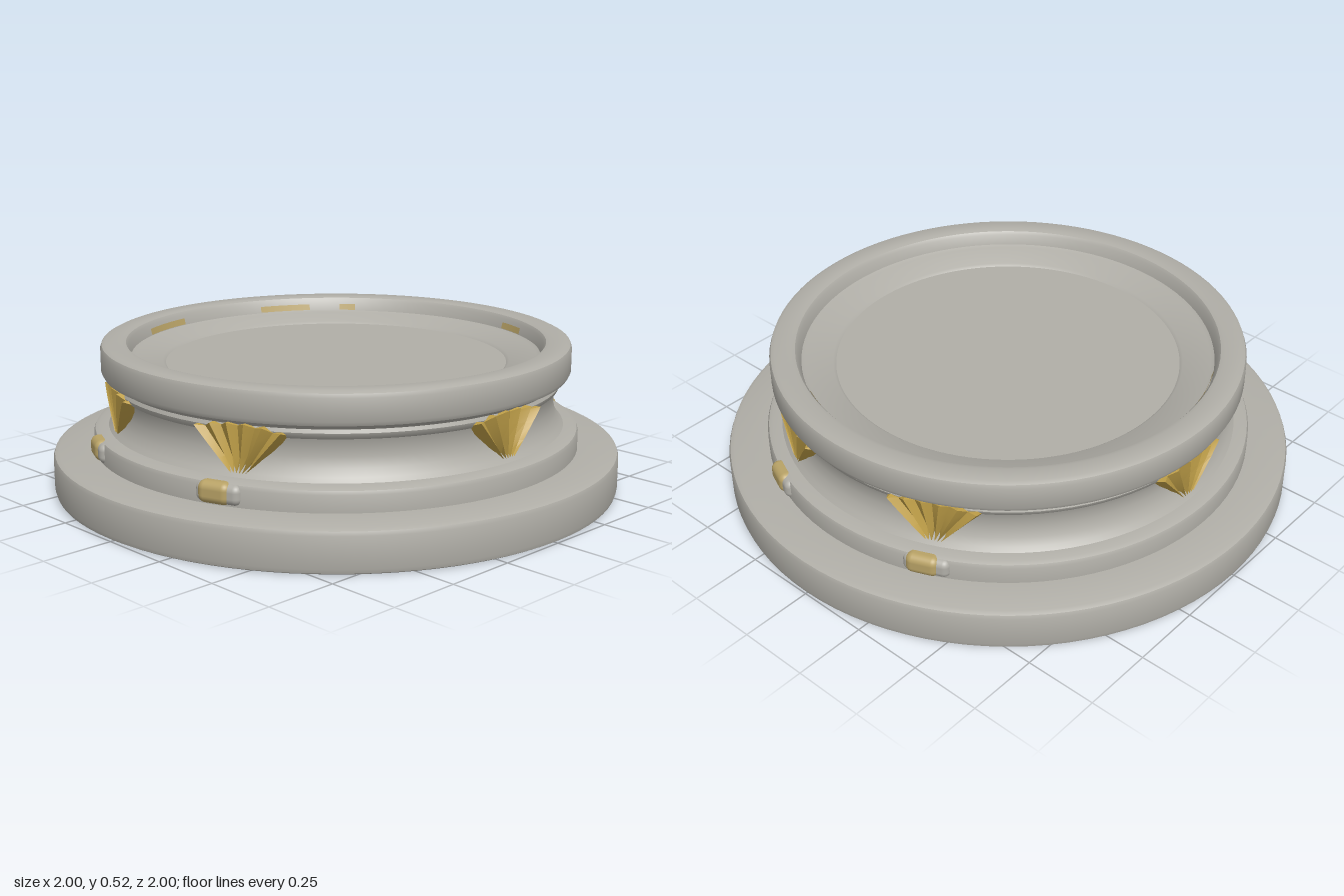
import * as THREE from 'three';
import { toCreasedNormals } from 'three/addons/utils/BufferGeometryUtils.js';
import { RoundedBoxGeometry } from 'three/addons/geometries/RoundedBoxGeometry.js';

const material = (name, color) => {
  const m = new THREE.MeshStandardMaterial({ color });
  m.name = name;
  return m;
};
const deg = THREE.MathUtils.degToRad;

// Fan of pleated leaves wrapped round the neck; its border sinks into the stone.
function fanGeometry() {
  const leaves = 6, cols = leaves * 2 + 1;
  const rows = [0, 0, 0.35, 0.7, 0.92, 1, 1];
  const pos = [], index = [];
  rows.forEach((t, r) => {
    for (let c = 0; c < cols; c++) {
      const u = (c / (cols - 1)) * 2 - 1;
      const crest = c % 2;
      const x = u * THREE.MathUtils.lerp(0.025, 0.172, t);
      const top = 0.402 - 0.032 * u * u - (crest ? 0 : 0.012);
      const y = THREE.MathUtils.lerp(0.232, top, t);
      const border = r === 0 || r === rows.length - 1 || c === 0 || c === cols - 1;
      const radius = border ? 0.755 : 0.783 + 0.018 * t + (crest ? 0.012 : -0.01);
      const a = x / 0.78;
      pos.push(Math.sin(a) * radius, y, Math.cos(a) * radius);
      if (r && c) {
        const d = r * cols + c, b = d - cols;
        index.push(b - 1, b, d, b - 1, d, d - 1);
      }
    }
  });
  const g = new THREE.BufferGeometry();
  g.setAttribute('position', new THREE.Float32BufferAttribute(pos, 3));
  g.setIndex(index);
  return toCreasedNormals(g, 0.3);
}

export function createModel() {
  const model = new THREE.Group();
  model.name = 'plinth';
  const stone = material('stone grey', 0xb0aea7);
  const gold = material('gold', 0xbf9f48);
  const paleGold = material('worn gold', 0xb8a266);
  const brown = material('underside brown', 0x9c8c66);

  const add = (name, geometry, mat, parent = model) => {
    const mesh = new THREE.Mesh(geometry, mat);
    mesh.name = name;
    parent.add(mesh);
    return mesh;
  };

  // Turned stone body: base, step, concave neck, rim and shallow recess
  const profile = [
    [0.8, 0], [0.985, 0], [0.996, 0.006], [1, 0.02],
    [1, 0.125], [0.995, 0.138], [0.98, 0.145],
    [0.857, 0.147], [0.857, 0.205], [0.852, 0.217], [0.838, 0.223],
    [0.805, 0.226], [0.793, 0.24], [0.777, 0.265], [0.768, 0.3],
    [0.768, 0.335], [0.775, 0.358], [0.785, 0.366], [0.79, 0.38], [0.785, 0.392],
    [0.8, 0.402], [0.818, 0.411], [0.825, 0.425],
    [0.825, 0.5], [0.82, 0.513], [0.806, 0.52],
    [0.75, 0.52], [0.736, 0.516], [0.728, 0.505], [0.718, 0.468],
    [0.705, 0.462], [0.61, 0.446], [0.6, 0.438], [0, 0.438],
  ].map(([x, y]) => new THREE.Vector2(x, y));
  add('stoneBody', toCreasedNormals(new THREE.LatheGeometry(profile, 96), 0.6), stone);

  // Painted disc closing the underside
  add('undersideDisc', new THREE.CircleGeometry(0.8, 96).rotateX(Math.PI / 2), brown);

  // Six fans round the neck
  const fan = fanGeometry();
  [-25, 23, 90, 156, 204, 270].forEach((angle) => {
    add('fanOrnament', fan, gold).rotation.y = deg(angle);
  });

  // Knobs on the step below the front and back fans
  const knob = new RoundedBoxGeometry(0.115, 0.074, 0.06, 4, 0.026);
  const boss = new RoundedBoxGeometry(0.16, 0.068, 0.05, 4, 0.024);
  [-25.4, 19.5, 157, 203].forEach((angle) => {
    const group = new THREE.Group();
    group.name = 'stepKnob';
    group.rotation.y = deg(angle);
    add('knob', knob, paleGold, group).position.set(0, 0.186, 0.846);
    add('knobBoss', boss, stone, group).position.set(0.012, 0.184, 0.843);
    model.add(group);
  });

  // Worn gold patches on the inner wall of the rim
  [[242, 16], [288, 18], [160, 10], [222, 5]].forEach(([angle, width]) => {
    const patch = new THREE.CylinderGeometry(0.721, 0.715, 0.022, 12, 1, true,
      deg(angle - width / 2), deg(width));
    const mat = paleGold.clone();
    mat.side = THREE.DoubleSide;
    add('innerPatch', patch, innerMaterial(model, mat)).position.y = 0.482;
  });
  return model;
}

// Share a single two-sided material between the inner patches
function innerMaterial(model, mat) {
  model.userData.inner ??= mat;
  return model.userData.inner;
}
